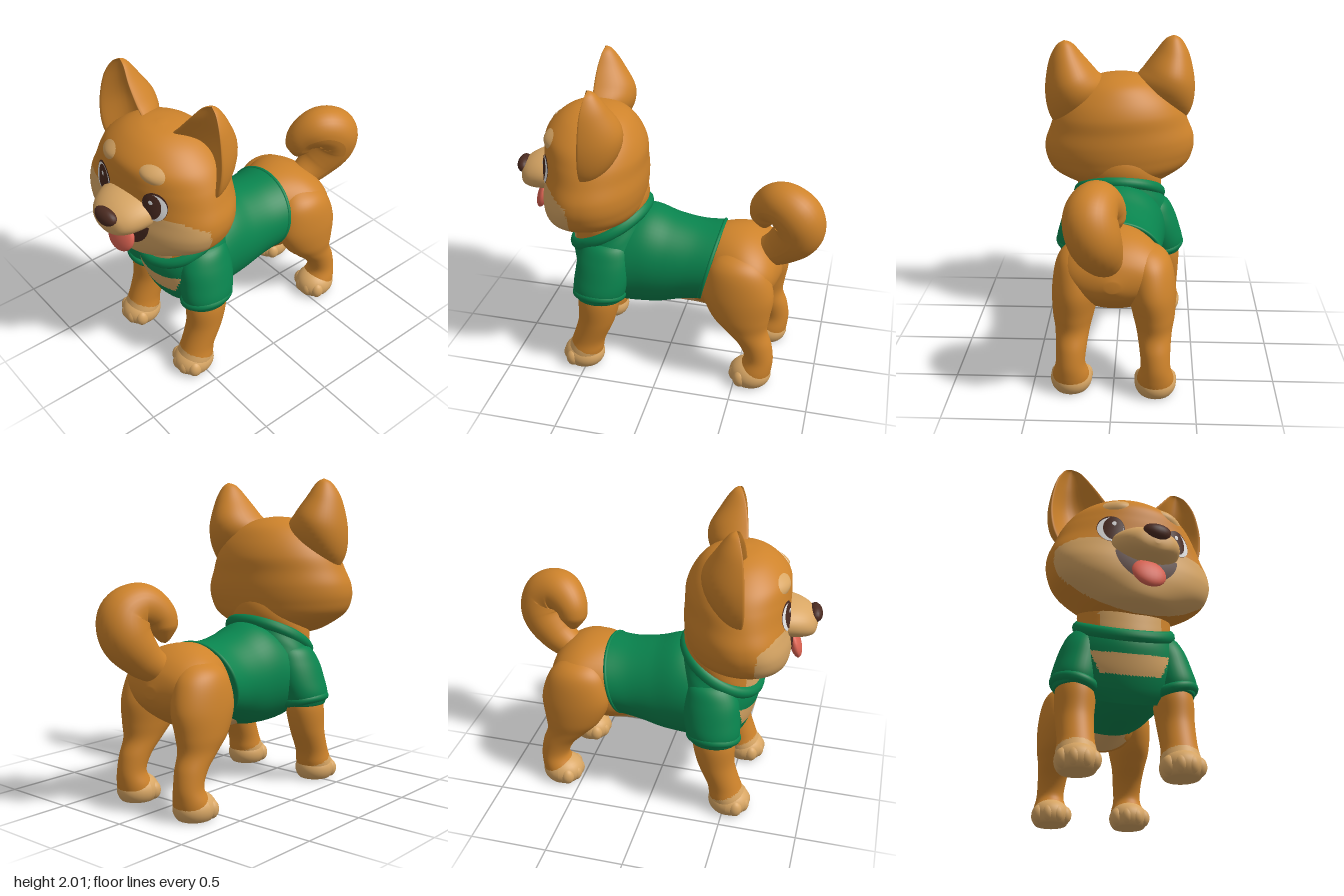
import * as THREE from 'three';

const mat = (name, color) => Object.assign(new THREE.MeshStandardMaterial({ color }), { name });
const orange = mat('orange fur', 0xce832b);
const tan = mat('tan fur', 0xd8a664);
const green = mat('green cloth', 0x09844e);
const brown = mat('dark brown', 0x4a2a20);
const pink = mat('tongue pink', 0xdc6352);
const white = mat('eye white', 0xe4e4e4);

const TAU = Math.PI * 2;

// Smooth interpolation through rows of numbers, t from 0 to 1
function spline(rows, t) {
  const f = t * (rows.length - 1), i = Math.min(Math.floor(f), rows.length - 2), u = f - i;
  const p = [-1, 0, 1, 2].map(k => rows[THREE.MathUtils.clamp(i + k, 0, rows.length - 1)]);
  return rows[i].map((_, k) => {
    const [a, b, c, d] = p.map(r => r[k]);
    return b + 0.5 * u * (c - a + u * (2 * a - 5 * b + 4 * c - d + u * (3 * (b - c) + d - a)));
  });
}

// Closed skin over cross-sections; place(row, angle) gives one point
function loft(rows, place, rings = 32, seg = 40) {
  const pos = [], idx = [];
  for (let j = 0; j <= rings; j++)
    for (let i = 0; i < seg; i++) pos.push(...place(spline(rows, j / rings), i / seg * TAU));
  for (let j = 0; j < rings; j++)
    for (let i = 0; i < seg; i++) {
      const a = j * seg + i, b = j * seg + (i + 1) % seg;
      idx.push(a, b, a + seg, b, b + seg, a + seg);
    }
  for (const start of [0, rings * seg]) {
    const c = pos.length / 3, mid = [0, 0, 0];
    for (let i = 0; i < seg * 3; i++) mid[i % 3] += pos[start * 3 + i] / seg;
    pos.push(...mid);
    for (let i = 0; i < seg; i++) {
      const a = start + i, b = start + (i + 1) % seg;
      idx.push(c, ...(start ? [a, b] : [b, a]));
    }
  }
  // Turn every face outward
  const v = k => new THREE.Vector3().fromArray(pos, idx[k] * 3);
  let volume = 0;
  for (let k = 0; k < idx.length; k += 3) volume += v(k).dot(v(k + 1).cross(v(k + 2)));
  if (volume < 0) idx.reverse();
  const g = new THREE.BufferGeometry();
  g.setAttribute('position', new THREE.Float32BufferAttribute(pos, 3));
  g.setIndex(idx);
  g.computeVertexNormals();
  return g;
}

// Sort faces into two colour groups; faces passing the rule take the second
function paint(g, rule) {
  const p = g.attributes.position, src = g.index.array, sets = [[], []];
  for (let k = 0; k < src.length; k += 3) {
    const t = [src[k], src[k + 1], src[k + 2]];
    const mean = f => (f(t[0]) + f(t[1]) + f(t[2])) / 3;
    sets[rule(mean(i => p.getX(i)), mean(i => p.getY(i)), mean(i => p.getZ(i))) ? 1 : 0].push(...t);
  }
  g.setIndex([...sets[0], ...sets[1]]);
  g.addGroup(0, sets[0].length, 0);
  g.addGroup(sets[0].length, sets[1].length, 1);
  return g;
}

const upright = s => ([y, x, z, rx, rz], a) => [s * x + rx * Math.cos(a), y, z + rz * Math.sin(a)];
const along = ([z, top, bottom, w], a) =>
  [w * Math.cos(a), (top + bottom) / 2 + (top - bottom) / 2 * Math.sin(a), z];
// Rings tilted to the slope of the collar
const sloped = ([t, z, rx, rz], a) => {
  const dz = z + rz * Math.sin(a) - 0.4;
  return [rx * Math.cos(a), t - 0.6 * dz, 0.4 + dz];
};

function add(parent, name, geometry, material) {
  const m = new THREE.Mesh(geometry, material);
  m.name = name;
  parent.add(m);
  return m;
}
function blob(parent, name, material, at, size) {
  const m = add(parent, name, new THREE.SphereGeometry(1, 20, 14), material);
  m.position.set(...at);
  m.scale.set(...size);
  return m;
}
function ring(parent, name, material, radius, point) {
  const pts = Array.from({ length: 32 }, (_, i) => new THREE.Vector3(...point(Math.cos(i / 32 * TAU), Math.sin(i / 32 * TAU))));
  add(parent, name, new THREE.TubeGeometry(new THREE.CatmullRomCurve3(pts, true), 64, radius, 12, true), material);
}

// Head sections: height, half width, centre z, depth in front, depth behind, front roundness
const HEAD = [[0.948, 0.02, 0.63, 0.02, 0.02, 1], [0.965, 0.15, 0.61, 0.15, 0.16, 1], [1.0, 0.28, 0.57, 0.235, 0.28, 0.95],
  [1.1, 0.45, 0.53, 0.295, 0.34, 0.82], [1.2, 0.505, 0.52, 0.305, 0.36, 0.76], [1.3, 0.51, 0.515, 0.295, 0.365, 0.82],
  [1.4, 0.475, 0.51, 0.295, 0.355, 0.95], [1.5, 0.435, 0.5, 0.305, 0.34, 1], [1.6, 0.37, 0.5, 0.29, 0.3, 1],
  [1.69, 0.26, 0.5, 0.21, 0.23, 1], [1.74, 0.14, 0.5, 0.12, 0.13, 1], [1.757, 0.02, 0.5, 0.02, 0.02, 1]];

// Front surface of the head at x, y
function faceZ(x, y) {
  let lo = 0, hi = 1;
  for (let k = 0; k < 24; k++) {
    const t = (lo + hi) / 2;
    if (spline(HEAD, t)[0] < y) lo = t; else hi = t;
  }
  const [, w, z, front, , e] = spline(HEAD, lo);
  return z + front * Math.max(0, 1 - (x / w) ** 2) ** (e / 2);
}
// Thin disc laid on the face; warp maps the unit disc to x, y
function patch(parent, name, material, lift, dome, warp) {
  const g = new THREE.RingGeometry(0, 1, 36, 7), p = g.attributes.position;
  for (let i = 0; i < p.count; i++) {
    const u = p.getX(i), v = p.getY(i), [x, y] = warp(u, v);
    p.setXYZ(i, x, y, faceZ(x, y) + lift + dome * (1 - u * u - v * v));
  }
  g.computeVertexNormals();
  return add(parent, name, g, material);
}

function buildHead() {
  const pivot = new THREE.Group(), head = new THREE.Group();
  pivot.name = 'head';
  pivot.position.set(-0.006, 1.3, 0.45);
  pivot.rotation.set(0, 0.15, -0.03);
  head.position.set(0, -1.3, -0.45);
  pivot.add(head);

  const skull = loft(HEAD, ([y, w, z, f, b, e], a) => {
    const n = Math.sin(a);
    return [w * Math.cos(a), y, z + (n > 0 ? f * n ** e : b * n)];
  }, 88, 112);
  add(head, 'skull', paint(skull, (x, y, z) =>
    y < 1.34 - 2 * (Math.abs(x) - 0.33) ** 2 && z > 0.6 + 1.2 * (y - 1.17) ** 2), [orange, tan]);

  // Muzzle, nose and open mouth
  add(head, 'muzzle', loft([[0.7, 1.44, 1.2, 0.23], [0.8, 1.425, 1.195, 0.21], [0.87, 1.405, 1.19, 0.185],
    [0.925, 1.375, 1.195, 0.15], [0.96, 1.34, 1.21, 0.1], [0.977, 1.28, 1.245, 0.015]], along), tan);
  const nose = blob(head, 'nose', brown, [0.003, 1.322, 0.957], [0.083, 0.056, 0.047]);
  const np = nose.geometry.attributes.position;
  for (let i = 0; i < np.count; i++) np.setX(i, np.getX(i) * (1 + 0.25 * np.getY(i)));
  patch(head, 'mouth', brown, 0.006, 0, (u, v) => [0.195 * u, 1.225 + (v > 0 ? 0.02 : 0.15) * v + 0.025 * u * u]);
  blob(head, 'tongue', pink, [0, 1.115, 0.85], [0.105, 0.1, 0.037]).rotation.x = -0.3;

  for (const s of [1, -1]) {
    const oval = (x, y, rx, ry) => (u, v) => [s * x + rx * u, y + ry * v];
    patch(head, 'eyeRim', brown, 0.002, 0.004, oval(0.214, 1.405, 0.08, 0.093));
    patch(head, 'eyeWhite', white, 0.004, 0.006, oval(0.216, 1.4, 0.076, 0.086));
    patch(head, 'iris', brown, 0.009, 0.005, oval(0.203, 1.405, 0.058, 0.083));
    patch(head, 'eyeGlint', white, 0.016, 0.001, oval(0.2, 1.437, 0.013, 0.015));
    patch(head, 'brow', tan, 0.003, 0.016, (u, v) => [s * 0.178 + 0.075 * u, 1.598 + 0.047 * v - 0.014 * u * s]);

    // Ear sections: outer edge x y, inner edge x y, rim z, depth; hollow in front
    const ear = [[0.4, 1.36, 0.1, 1.54, 0.5, 0.06], [0.485, 1.49, 0.09, 1.69, 0.51, 0.21],
      [0.507, 1.66, 0.165, 1.79, 0.505, 0.235], [0.475, 1.85, 0.245, 1.89, 0.495, 0.15],
      [0.42, 1.96, 0.31, 1.97, 0.475, 0.065], [0.366, 1.995, 0.364, 1.995, 0.46, 0.01]];
    add(head, 'ear', loft(ear, ([ox, oy, ix, iy, z, b], a) => {
      const m = (1 + Math.cos(a)) / 2, n = Math.abs(Math.sin(a));
      const dz = Math.sin(a) > 0 ? -b * n : 0.5 * b * n - 0.95 * b * n * n;
      return [s * (ix + (ox - ix) * m), iy + (oy - iy) * m, z + dz];
    }), orange).position.x = -0.012;
  }
  return pivot;
}

// Paw with a flat sole and four shallow toes
function paw(parent, x, z) {
  const g = new THREE.SphereGeometry(1, 28, 20), p = g.attributes.position;
  for (let i = 0; i < p.count; i++) p.setXYZ(i, x + 0.128 * p.getX(i), Math.max(0, 0.065 + 0.105 * p.getY(i)), z + 0.137 * p.getZ(i));
  g.computeVertexNormals();
  add(parent, 'paw', g, tan);
  for (const d of [-0.086, -0.03, 0.03, 0.086])
    blob(parent, 'toe', tan, [x + d, 0.06, z + 0.095 - 5.5 * d * d], [0.044, 0.058, 0.047]);
}

function buildTail() {
  const path = new THREE.CatmullRomCurve3([[0.03, 0.84, -0.6], [0.06, 0.95, -0.75], [0.1, 1.09, -0.84],
    [0.12, 1.195, -0.82], [0.09, 1.245, -0.72], [0.03, 1.18, -0.625], [0, 1.02, -0.605]].map(a => new THREE.Vector3(...a)));
  const radii = [0.09, 0.105, 0.125, 0.145, 0.157, 0.158, 0.15, 0.135, 0.112, 0.09, 0.07].map(r => [r]);
  const n = 72, sides = 32, g = new THREE.TubeGeometry(path, n, 1, sides), p = g.attributes.position, v = new THREE.Vector3();
  for (let i = 0; i < p.count; i++) {
    const u = Math.floor(i / (sides + 1)) / n, c = path.getPointAt(u);
    const r = spline(radii, u)[0] * Math.sqrt(Math.min(1, (1 - u) / 0.1));
    v.fromBufferAttribute(p, i).sub(c).multiplyScalar(r).add(c);
    p.setXYZ(i, v.x, v.y, v.z);
  }
  g.computeVertexNormals();
  return g;
}

export function createModel() {
  const dog = new THREE.Group();
  dog.name = 'dog';
  dog.add(buildHead());

  // Body and neck
  add(dog, 'body', paint(loft([[0.1, 0.9, 0.415, 0.14], [-0.05, 0.92, 0.412, 0.17], [-0.2, 0.94, 0.415, 0.2],
    [-0.35, 0.995, 0.43, 0.285], [-0.5, 0.998, 0.49, 0.335], [-0.62, 0.95, 0.56, 0.31], [-0.7, 0.87, 0.63, 0.22],
    [-0.74, 0.77, 0.7, 0.04]], along, 48, 56), (x, y, z) => y < 0.5 && z > -0.3), [orange, tan]);
  add(dog, 'neck', paint(loft([[0.86, 0.4, 0.2, 0.19], [0.95, 0.4, 0.275, 0.24], [1.05, 0.4, 0.285, 0.245],
    [1.2, 0.42, 0.27, 0.22]], sloped, 24, 80), (x, y, z) => Math.abs(x) < 0.19 && z > 0.4), [orange, tan]);
  add(dog, 'tail', buildTail(), orange);

  // Shirt: trunk with slanted hem, chest with pale panel, collar
  add(dog, 'shirtTrunk', loft([[0.58, 0.8, 0.55, 0.12], [0.5, 0.88, 0.47, 0.25], [0.4, 0.97, 0.42, 0.3],
    [0.3, 1.03, 0.398, 0.32], [0.15, 1.075, 0.395, 0.31], [0, 1.025, 0.41, 0.295], [-0.15, 0.995, 0.45, 0.287],
    [-0.285, 0.997, 0.485, 0.298]], (row, a) => {
    const [x, y, z] = along(row, a);
    return [x, y, z - 0.25 * (y - 0.75) * THREE.MathUtils.clamp((0.2 - z) / 0.4, 0, 1)];
  }, 42, 56), green);
  ring(dog, 'shirtHem', green, 0.012, (c, s) => [0.292 * c, 0.742 + 0.25 * s, -0.283 - 0.0625 * s]);
  add(dog, 'shirtChest', paint(loft([[0.97, 0.4, 0.28, 0.245], [0.9, 0.395, 0.306, 0.252], [0.83, 0.385, 0.33, 0.25],
    [0.72, 0.37, 0.35, 0.24], [0.6, 0.35, 0.325, 0.22], [0.5, 0.35, 0.25, 0.17]], sloped, 60, 112), (x, y, z) =>
    z > 0.42 && y < 0.695 + 0.6 * x * x && y > 0.575 + 0.5 * x * x && Math.abs(x) < 0.175 + 0.055 * (y - 0.57) / 0.13), [green, tan]);
  ring(dog, 'collar', green, 0.042, (c, s) => [0.272 * c, 0.945 - 0.14 * s, 0.4 + 0.233 * s]);

  for (const s of [1, -1]) {
    // Sleeve and cuff
    add(dog, 'sleeve', loft([[0.94, 0.2, 0.36, 0.04, 0.06], [0.9, 0.225, 0.365, 0.105, 0.13], [0.81, 0.25, 0.38, 0.13, 0.17],
      [0.7, 0.275, 0.39, 0.142, 0.18], [0.6, 0.295, 0.405, 0.145, 0.174], [0.53, 0.295, 0.41, 0.125, 0.155]], upright(s)), green);
    ring(dog, 'cuff', green, 0.032, (c, n) => [s * (0.295 + 0.12 * c), 0.555 + 0.03 * c, 0.41 + 0.145 * n]);

    // Front leg
    add(dog, 'frontLeg', paint(loft([[0.62, 0.29, 0.41, 0.1, 0.12], [0.5, 0.295, 0.415, 0.12, 0.136],
      [0.35, 0.3, 0.435, 0.112, 0.12], [0.2, 0.3, 0.49, 0.107, 0.11], [0.12, 0.3, 0.515, 0.117, 0.118],
      [0.06, 0.3, 0.53, 0.12, 0.12]], upright(s), 48, 48), (x, y, z) => y < 0.18 - 0.4 * (0.62 - z)), [orange, tan]);
    paw(dog, s * 0.3, 0.53);

    // Hind leg, the right one set slightly back
    const hind = new THREE.Group();
    hind.name = 'hindLeg';
    hind.position.z = s > 0 ? 0 : -0.035;
    dog.add(hind);
    add(hind, 'thighAndShin', paint(loft([[0.93, 0.17, -0.47, 0.04, 0.06], [0.88, 0.195, -0.475, 0.11, 0.14],
      [0.8, 0.215, -0.482, 0.138, 0.197], [0.65, 0.23, -0.492, 0.147, 0.23], [0.5, 0.245, -0.515, 0.13, 0.19],
      [0.4, 0.25, -0.555, 0.108, 0.14], [0.3, 0.255, -0.62, 0.094, 0.108], [0.2, 0.26, -0.65, 0.09, 0.094],
      [0.12, 0.26, -0.63, 0.11, 0.11], [0.06, 0.26, -0.61, 0.118, 0.12]], upright(s), 54, 48),
    (x, y, z) => y < 0.15 - 0.4 * (-0.52 - z)), [orange, tan]);
    paw(hind, s * 0.26, -0.6);
  }
  return dog;
}
